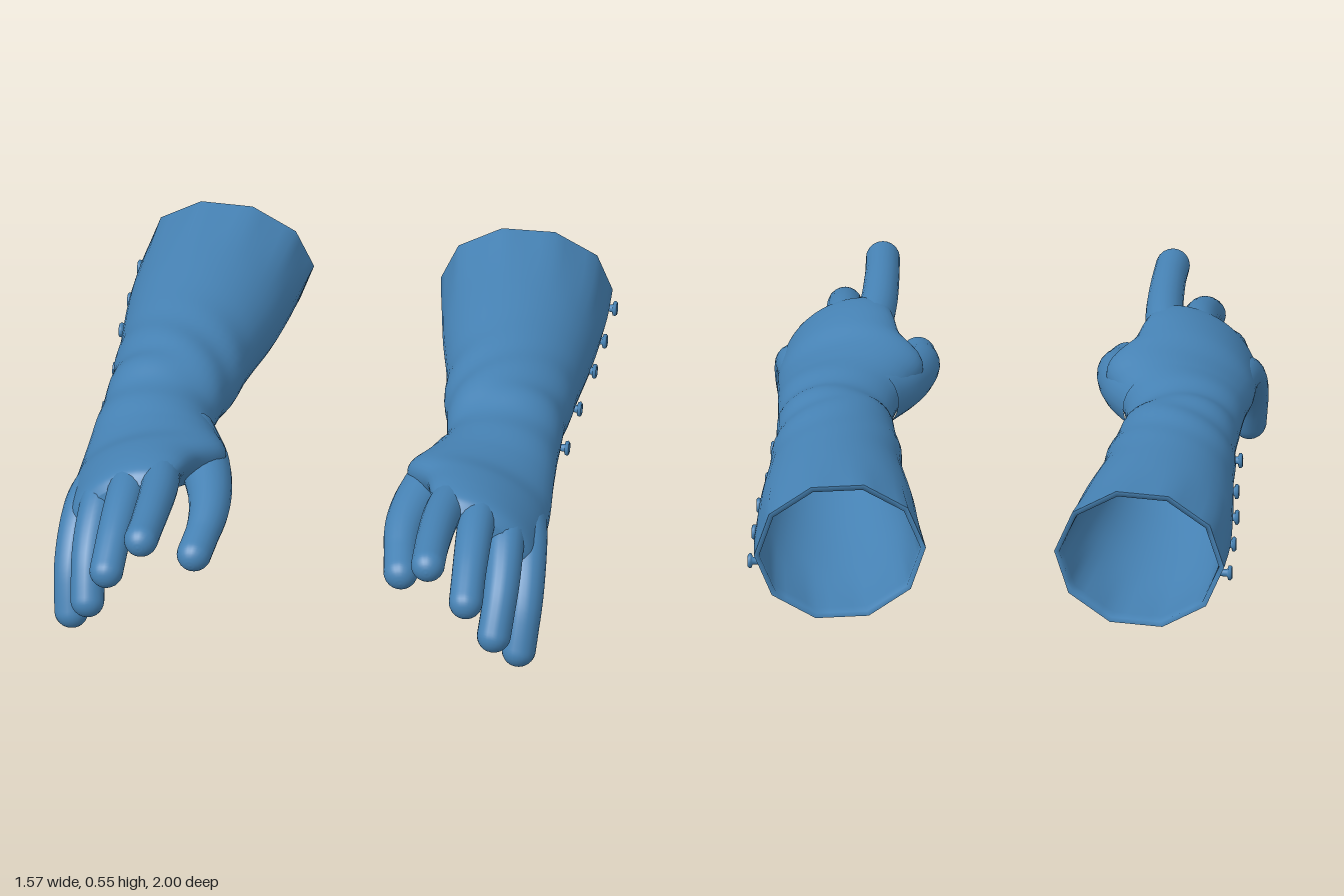
import * as THREE from 'three';

const BLUE = new THREE.MeshStandardMaterial({ color: 0x4682b4 });
const SIDES = 40;
const V = (x, y, z) => new THREE.Vector3(x, y, z);
const clamp01 = (v) => THREE.MathUtils.clamp(v, 0, 1);
const bell = (v, centre, width) => Math.exp(-(((v - centre) / width) ** 2));

// Skin a list of closed rings (arrays of Vector3, all of the same length)
function loft(rings) {
  const n = rings[0].length, pos = [], idx = [];
  rings.forEach((ring) => ring.forEach((p) => pos.push(p.x, p.y, p.z)));
  for (let i = 0; i < rings.length - 1; i++) {
    for (let j = 0; j < n; j++) {
      const k = (j + 1) % n;
      const a = i * n + j, b = i * n + k, c = a + n, d = b + n;
      idx.push(a, b, c, b, d, c);
    }
  }
  const geo = new THREE.BufferGeometry();
  geo.setAttribute('position', new THREE.Float32BufferAttribute(pos, 3));
  geo.setIndex(idx);
  geo.computeVertexNormals();
  return geo;
}

// Flip a geometry in x, keeping its faces outward
function mirrored(geo) {
  const g = geo.clone().scale(-1, 1, 1);
  const a = g.index.array;
  for (let i = 0; i < a.length; i += 3) [a[i + 1], a[i + 2]] = [a[i + 2], a[i + 1]];
  g.computeVertexNormals();
  return g;
}

// Cuff to knuckles: z, centre x, centre y, half width, half height, tilt
const SECTIONS = [
  [-0.97, 0.475, 0.31, 0.265, 0.222, -0.04],
  [-0.8, 0.492, 0.305, 0.26, 0.216, -0.03],
  [-0.6, 0.507, 0.31, 0.243, 0.2, 0],
  [-0.4, 0.523, 0.318, 0.216, 0.182, 0],
  [-0.2, 0.533, 0.333, 0.2, 0.163, 0],
  [-0.1, 0.543, 0.342, 0.187, 0.153, 0],
  [0, 0.552, 0.338, 0.182, 0.133, -0.02],
  [0.1, 0.55, 0.35, 0.19, 0.128, -0.08],
  [0.2, 0.535, 0.357, 0.213, 0.118, -0.18],
  [0.3, 0.524, 0.363, 0.237, 0.114, -0.26],
  [0.4, 0.565, 0.383, 0.212, 0.1, -0.44],
  [0.5, 0.582, 0.395, 0.204, 0.084, -0.55],
  [0.58, 0.588, 0.4, 0.185, 0.07, -0.58],
  [0.62, 0.59, 0.398, 0.14, 0.04, -0.58],
];
const centreCurve = new THREE.CatmullRomCurve3(SECTIONS.map((s) => V(s[1], s[2], s[0])), false, 'catmullrom');
const shapeCurve = new THREE.CatmullRomCurve3(SECTIONS.map((s) => V(s[3], s[4], s[5])), false, 'catmullrom');

// One cross-section of the arm at curve parameter t, thinned by inset
function armRing(t, inset = 0) {
  const c = centreCurve.getPoint(t), s = shapeCurve.getPoint(t), ring = [];
  const facet = clamp01((-0.65 - c.z) / 0.3);      // cuff turns ten-sided
  const slant = clamp01((-0.75 - c.z) / 0.22);     // cuff opening leans
  const arch = 0.025 * clamp01((c.z - 0.2) / 0.3); // back of the hand is arched
  for (let j = 0; j < SIDES; j++) {
    const th = (j / SIDES) * Math.PI * 2, step = Math.PI / 5;
    const off = (th % step) - step / 2;
    const poly = (1.025 * Math.cos(step / 2)) / Math.cos(off);
    // slanting folds gathered above the wrist
    const fold = 0.006 * Math.sin(c.z * 30 + 4 * Math.cos(th - 0.5)) * bell(c.z, -0.2, 0.17)
      * (0.2 + 0.8 * clamp01(Math.sin(th) + 0.3));
    const r = 1 + facet * (poly - 1);
    const u = ((s.x - inset) * r + fold) * Math.cos(th);
    const v = ((s.y - inset) * r + fold) * Math.sin(th) + arch * (0.5 - Math.cos(th) ** 2);
    const x = c.x + u * Math.cos(s.z) - v * Math.sin(s.z);
    const y = c.y + u * Math.sin(s.z) + v * Math.cos(s.z);
    const lean = 0.022 * slant * ((y - 0.31) / 0.22 - (x - 0.475) / 0.265);
    ring.push(V(x, y, c.z + lean));
  }
  return ring;
}

function armGeometry() {
  const rings = [];
  for (let i = 0; i <= 110; i++) rings.push(armRing(i / 110));
  rings.push(rings[110].map(() => V(0.59, 0.398, 0.63)));
  return loft(rings);
}

// Inside of the sleeve, closed at the wrist, and the rim of its opening.
// The rings run from the wrist back to the rim, so the skin faces the hollow.
function liningGeometry() {
  const end = centreCurve.getPoint(0.46);
  const rings = [armRing(0.46).map(() => end.clone())];
  for (let i = 24; i >= 0; i--) rings.push(armRing((i / 24) * 0.46, 0.016));
  rings.push(armRing(0));
  return loft(rings);
}

// Round-tipped finger along a path; radius runs from r0 to r1
function fingerGeometry(points, r0, r1) {
  const path = new THREE.CatmullRomCurve3(points.map((p) => V(...p)));
  const len = path.getLength(), steps = 40, n = 20, rings = [];
  const frames = path.computeFrenetFrames(400);
  for (let i = 0; i <= steps; i++) {
    const k = Math.round(400 * (1 - (1 - i / steps) ** 2)), t = k / 400;
    const left = (1 - t) * len;
    let r = r0 + (r1 - r0) * Math.min(1, t * 1.3);
    if (left < r) r = Math.sqrt(Math.max(0, r * r - (r - left) ** 2));
    const p = path.getPointAt(t), ring = [];
    for (let j = 0; j < n; j++) {
      const th = (j / n) * Math.PI * 2;
      ring.push(p.clone()
        .addScaledVector(frames.normals[k], r * Math.cos(th))
        .addScaledVector(frames.binormals[k], r * Math.sin(th)));
    }
    rings.push(ring);
  }
  return loft(rings);
}

// Domed stud with a raised edge, pointing along +x
function buttonGeometry(x, y, z) {
  const profile = [[0.011, -0.02], [0.012, 0.008], [0.023, 0.012], [0.024, 0.019],
    [0.019, 0.024], [0.014, 0.023], [0.01, 0.019], [0, 0.021]];
  return new THREE.LatheGeometry(profile.map((p) => new THREE.Vector2(...p)), 16)
    .rotateZ(-Math.PI / 2).translate(x, y, z);
}

const FINGERS = {
  indexFinger: [[0.487, 0.43, 0.38], [0.457, 0.465, 0.58], [0.454, 0.487, 0.8], [0.463, 0.492, 1]],
  middleFinger: [[0.57, 0.4, 0.38], [0.562, 0.44, 0.57], [0.57, 0.4, 0.78], [0.579, 0.315, 0.96]],
  ringFinger: [[0.635, 0.36, 0.38], [0.65, 0.38, 0.55], [0.661, 0.28, 0.725], [0.648, 0.115, 0.85]],
  littleFinger: [[0.68, 0.32, 0.34], [0.713, 0.312, 0.51], [0.727, 0.19, 0.66], [0.713, 0.003, 0.75]],
};
const THUMB = [[0.44, 0.36, 0.14], [0.358, 0.348, 0.29], [0.314, 0.322, 0.49], [0.338, 0.265, 0.735]];
const BUTTONS = [[0.745, 0.26, -0.945], [0.745, 0.27, -0.74], [0.742, 0.28, -0.55], [0.728, 0.275, -0.335], [0.725, 0.28, -0.1]];

export function createModel() {
  const parts = [
    ['sleeveAndPalm', armGeometry()],
    ['cuffLining', liningGeometry()],
    ['thumb', fingerGeometry(THUMB, 0.095, 0.055)],
  ];
  for (const [name, path] of Object.entries(FINGERS)) parts.push([name, fingerGeometry(path, 0.065, 0.054)]);
  BUTTONS.forEach((b, i) => parts.push([`button${i + 1}`, buttonGeometry(...b)]));

  const model = new THREE.Group();
  model.name = 'gloves';
  for (const side of ['left', 'right']) {
    const glove = new THREE.Group();
    glove.name = `${side}Glove`;
    for (const [name, geo] of parts) {
      const mesh = new THREE.Mesh(side === 'left' ? geo : mirrored(geo), BLUE);
      mesh.name = name;
      glove.add(mesh);
    }
    model.add(glove);
  }
  return model;
}
